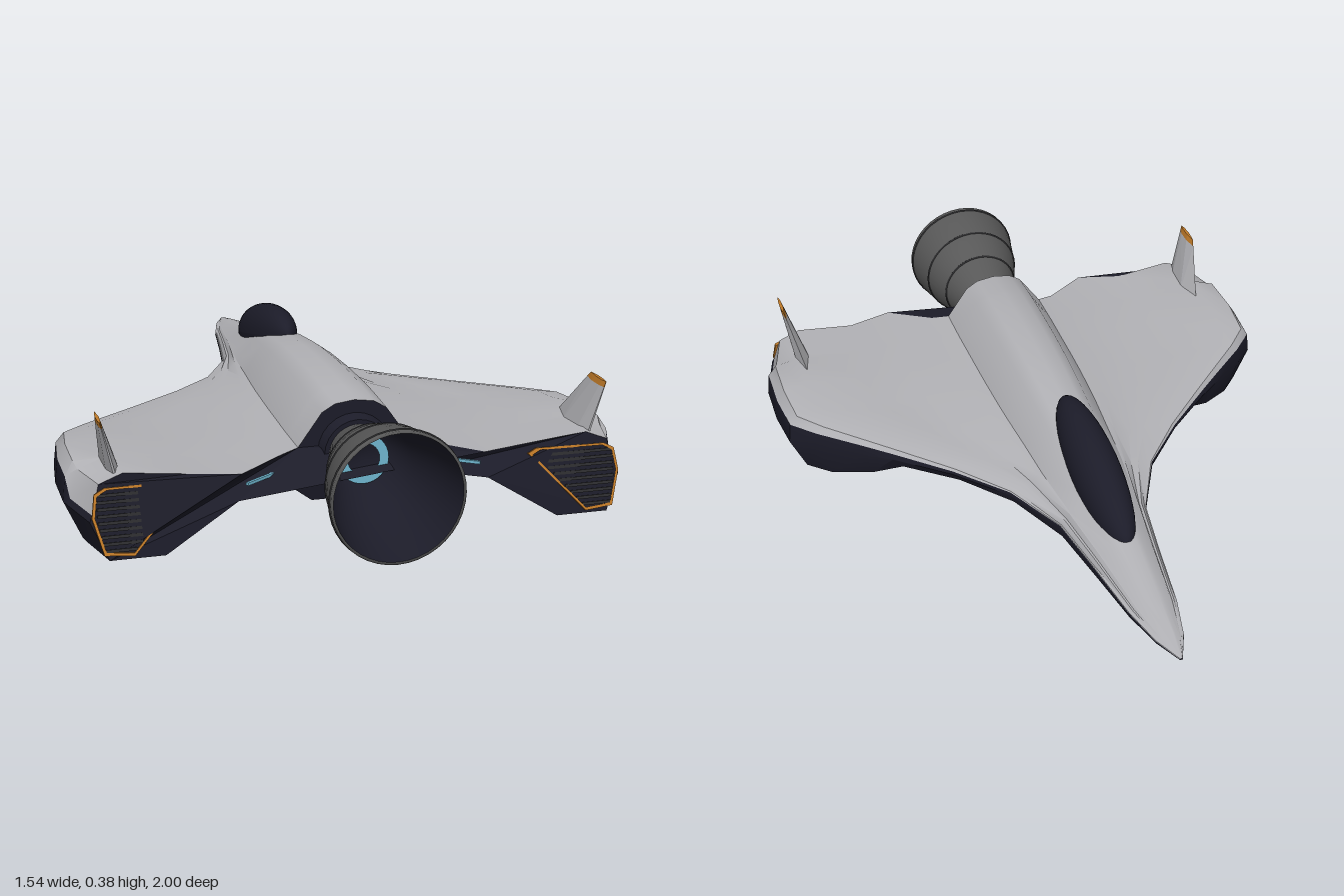
import * as THREE from 'three';
import { toCreasedNormals } from 'three/addons/utils/BufferGeometryUtils.js';
import { ConvexGeometry } from 'three/addons/geometries/ConvexGeometry.js';

const mat = (name, color, side = THREE.FrontSide) => {
  const m = new THREE.MeshStandardMaterial({ color, side });
  m.name = name;
  return m;
};

// Hull stations: z, half width, hump half width, spine y, chine y, pod bottom y, keel y
const STATIONS = [
  [-1, .004, .003, .142, .139, .138, .138],
  [-.92, .04, .025, .158, .139, .134, .127],
  [-.8, .07, .048, .18, .138, .128, .113],
  [-.6, .1, .073, .217, .142, .12, .086],
  [-.42, .13, .098, .262, .146, .115, .07],
  [-.24, .22, .12, .3, .15, .122, .062],
  [-.1, .35, .13, .324, .154, .128, .06],
  [.03, .495, .14, .338, .148, .115, .06],
  [.1, .575, .144, .344, .135, .06, .06],
  [.2, .69, .148, .348, .115, .012, .062],
  [.27, .757, .15, .35, .105, .004, .064],
  [.4, .77, .152, .35, .1, 0, .064],
  [.54, .768, .154, .346, .1, 0, .064],
  [.57, .76, .154, .344, .1, 0, .064],
  [.7, .722, .154, .335, .1, .004, .064],
];

// Half section from spine to keel; the trailing edge z differs for each point
function halfSection([z, w, b, top, chine, pod, keel]) {
  const a = b * .58, span = (t) => b + (w - b) * t;
  const foot = .215 - .074 * Math.max(0, (.3 - z) / 1.3) ** 2;
  const edge = z > .55 ? .116 : Math.min(.167, .14 + .025 * (z + 1));
  const outer = Math.max(edge + .003, .141 + .075 * Math.min(1, (z + 1) / 1.4) ** 2);
  const mid = (foot + outer) / 2 - .025 * w;
  const under = keel + .06 * THREE.MathUtils.smoothstep(z, -1, 0);
  const pts = [
    [0, top, .615], [a * .6, top - (top - foot) * .06, .615], [a, top - (top - foot) * .24, .615],
    [b, foot, .615], [span(.09), foot - .012 * w, .635], [span(.31), mid, .725], [span(.54), mid, .69],
    [span(.84), outer, .69], [span(.95), edge + (outer - edge) * .75, .69], [w * .99, edge, .708],
    [w, chine, .715], [w * .94, pod, .745], [w * .74, pod, .745], [w * .47, under, .725],
    [Math.min(b * 1.25, w * .4), under, .63], [Math.min(a * 1.3, w * .28), keel, .615], [0, keel, .615],
  ];
  return pts.map(([x, y, rear]) => new THREE.Vector3(x, y, z > .3 ? .3 + (z - .3) / .4 * (rear - .3) : z));
}
const EDGE = 9;
const flip = (p) => new THREE.Vector3(-p.x, p.y, p.z);

function loft(rows) {
  const pos = [], idx = [], n = rows[0].length;
  rows.forEach((r) => r.forEach((p) => pos.push(p.x, p.y, p.z)));
  for (let i = 0; i < rows.length - 1; i++) {
    for (let j = 0; j < n - 1; j++) {
      const a = i * n + j, c = a + n;
      idx.push(a, a + 1, c, a + 1, c + 1, c);
    }
  }
  const g = new THREE.BufferGeometry();
  g.setAttribute('position', new THREE.Float32BufferAttribute(pos, 3));
  g.setIndex(idx);
  return toCreasedNormals(g, .6);
}

// Cap filling a closed outline, facing +z
function cap(ring) {
  const flat = ring.map((p) => new THREE.Vector2(p.x, p.y));
  const pos = [];
  THREE.ShapeUtils.triangulateShape(flat, []).forEach((f) => {
    const [a, b, c] = f.map((i) => ring[i]);
    const ccw = (b.x - a.x) * (c.y - a.y) - (b.y - a.y) * (c.x - a.x) > 0;
    (ccw ? [a, b, c] : [a, c, b]).forEach((p) => pos.push(p.x, p.y, p.z));
  });
  const g = new THREE.BufferGeometry();
  g.setAttribute('position', new THREE.Float32BufferAttribute(pos, 3));
  g.computeVertexNormals();
  return g;
}

// Fin slice between two height fractions, with a diamond-like section
function finSlice(s, t0, t1) {
  const pts = [];
  for (const t of [t0, t1]) {
    const L = (a, b) => a + (b - a) * t;
    const x = L(.646, .684), y = L(.195, .352), f = L(.45, .59), r = L(.67, .688), h = L(.022, .005);
    for (const [u, k] of [[0, 0], [.4, 1], [.8, .8], [1, .15], [1, -.15], [.8, -.8], [.4, -1]]) {
      pts.push(new THREE.Vector3(s * (x + h * k), y, f + (r - f) * u));
    }
  }
  return new ConvexGeometry(pts);
}

export function createModel() {
  const model = new THREE.Group();
  const grey = mat('hull grey', 0xb2b2b6), navy = mat('dark navy', 0x1c1c29, THREE.DoubleSide);
  const metal = mat('nozzle metal', 0x585858, THREE.DoubleSide), band = mat('band dark grey', 0x2c2c2e);
  const orange = mat('trim orange', 0xc07a28), cyan = mat('glow cyan', 0x6fb6cf);
  const add = (name, geo, material, parent = model) => {
    const m = new THREE.Mesh(geo, material);
    m.name = name;
    parent.add(m);
    return m;
  };

  // Hull: light upper skin, dark lower skin, dark rear bulkhead
  const halves = STATIONS.map(halfSection);
  const upper = halves.map((h) => {
    const t = h.slice(0, EDGE + 1);
    return [...t.slice(1).reverse(), ...t.map(flip)];
  });
  const lower = halves.map((h) => {
    const t = h.slice(EDGE);
    return [...t.map(flip), ...t.slice(0, -1).reverse()];
  });
  add('upperHull', loft(upper), grey);
  add('lowerHull', loft(lower), navy);
  add('rearBulkhead', cap([...upper.at(-1), ...lower.at(-1).slice(1, -1)]), navy);

  // Canopy: ellipsoid sheared along the rising spine
  const canopy = new THREE.SphereGeometry(1, 32, 20);
  canopy.rotateX(Math.PI / 2).scale(.07, .093, .267);
  const p = canopy.attributes.position;
  for (let i = 0; i < p.count; i++) p.setY(i, p.getY(i) + .265 + .22 * p.getZ(i));
  canopy.translate(0, 0, -.345);
  canopy.computeVertexNormals();
  add('canopy', canopy, navy);

  // Main engine
  const engine = new THREE.Group();
  engine.name = 'mainEngine';
  engine.position.y = .2;
  model.add(engine);
  const lathe = (pts) => new THREE.LatheGeometry(pts.map((q) => new THREE.Vector2(...q)), 40).rotateX(Math.PI / 2);
  add('nozzleBell', lathe([[.07, .6], [.075, .64], [.092, .69], [.118, .77], [.137, .82], [.151, .87],
    [.165, .93], [.174, .985], [.175, 1], [.168, 1]]), metal, engine);
  add('nozzleInside', lathe([[0, .7], [.072, .7], [.11, .78], [.145, .88], [.168, 1]]), navy, engine);
  add('glowRing', new THREE.RingGeometry(.043, .068, 32).translate(0, 0, .705), cyan, engine);
  add('engineCollar', new THREE.CylinderGeometry(.09, .105, .05, 24).rotateX(Math.PI / 2).translate(0, 0, .622), navy, engine);
  for (const [z, r] of [[.77, .117], [.87, .15], [.985, .173]]) {
    add('nozzleBand', new THREE.TorusGeometry(r, .004, 6, 40).translate(0, 0, z), band, engine);
  }

  // Paired parts
  for (const s of [1, -1]) {
    add('tailFin', finSlice(s, 0, .9), grey);
    add('tailFinTip', finSlice(s, .9, 1), orange);

    // Slanted exhaust vent with frame and slats
    const vent = new THREE.Group();
    vent.name = 'exhaustVent';
    vent.position.z = .747;
    vent.rotation.x = -.283;
    model.add(vent);
    const outline = [[.46, .172], [.485, .184], [.68, .182], [.708, .168], [.717, .11], [.692, .018], [.615, .011]];
    const scaled = (k) => outline.map(([x, y]) => new THREE.Vector2(s * (.62 + (x - .62) * k), (.11 + (y - .11) * k) * 1.04));
    const frame = new THREE.Shape(scaled(1));
    frame.holes.push(new THREE.Path(scaled(.92)));
    add('ventFrame', new THREE.ExtrudeGeometry(frame, { depth: .009, bevelEnabled: false }), orange, vent);
    add('ventBack', new THREE.ExtrudeGeometry(new THREE.Shape(scaled(.95)), { depth: .003, bevelEnabled: false }), navy, vent);
    for (let i = 0; i < 9; i++) {
      const y = .028 + i * .017;
      const inner = .618 - (y - .015) * .9, outer = .685 + Math.min(.018, (y - .02) * .25);
      add('ventSlat', new THREE.BoxGeometry(outer - inner, .008, .008)
        .translate(s * (inner + outer) / 2, y * 1.04, .004), band, vent);
    }

    // Glow strips on the trailing edge and under the pod
    const strip = add('trailingGlow', new THREE.BoxGeometry(.15, .008, .008), cyan);
    strip.position.set(s * .255, .168, .681);
    strip.rotation.y = -s * Math.atan2(.09, .13);
    add('podGlow', new THREE.BoxGeometry(.03, .006, .3), cyan).position.set(s * .625, .003, .565);
  }
  return model;
}
